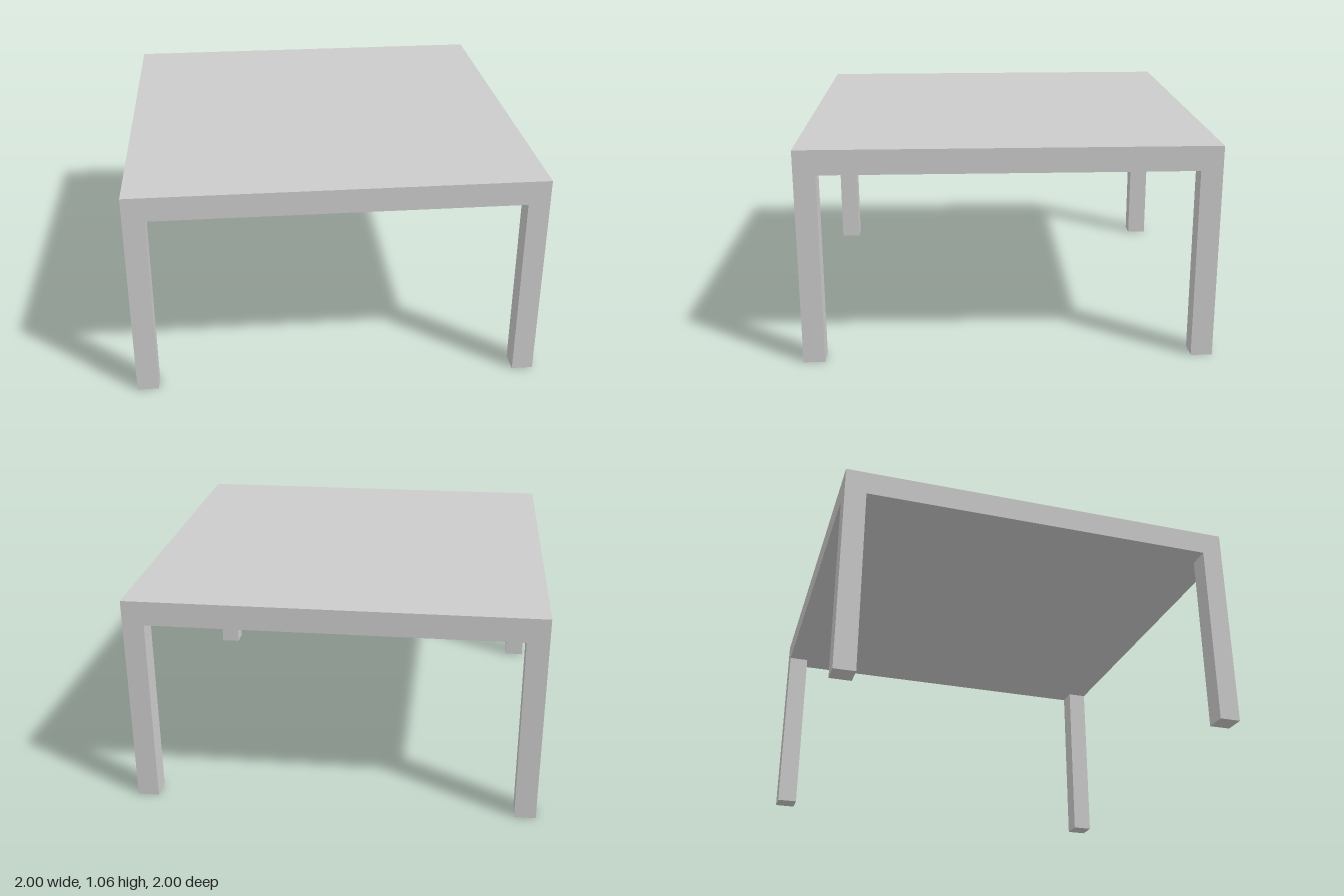
import * as THREE from 'three';

const SIZE = 2;
const HEIGHT = 1.06;
const TOP_THICKNESS = 0.12;
const LEG_WIDTH = 0.105;

export function createModel() {
  const table = new THREE.Group();
  table.name = 'table';
  const material = new THREE.MeshStandardMaterial({ color: 0xcccccc, flatShading: true });

  // Square slab top
  const top = new THREE.Mesh(new THREE.BoxGeometry(SIZE, TOP_THICKNESS, SIZE), material);
  top.name = 'tableTop';
  top.position.y = HEIGHT - TOP_THICKNESS / 2;
  table.add(top);

  // Four square legs, flush with the corners of the top
  const legHeight = HEIGHT - TOP_THICKNESS;
  const legGeometry = new THREE.BoxGeometry(LEG_WIDTH, legHeight, LEG_WIDTH);
  const offset = (SIZE - LEG_WIDTH) / 2;
  for (const [side, sx] of [['Left', 1], ['Right', -1]]) {
    for (const [end, sz] of [['front', 1], ['back', -1]]) {
      const leg = new THREE.Mesh(legGeometry, material);
      leg.name = `${end}${side}Leg`;
      leg.position.set(sx * offset, legHeight / 2, sz * offset);
      table.add(leg);
    }
  }

  return table;
}
